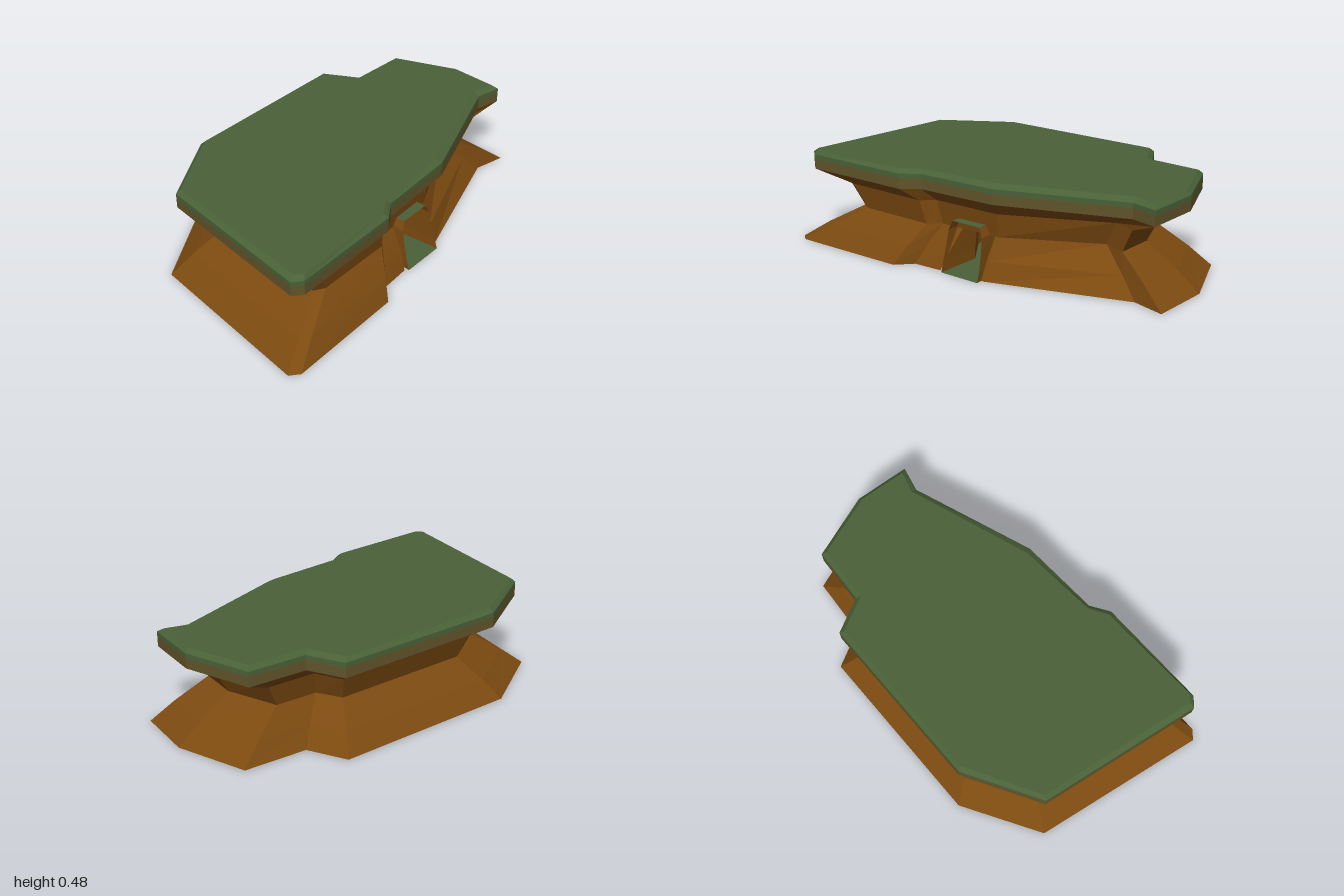
import * as THREE from 'three';

const mat = (name, color) => new THREE.MeshStandardMaterial({ name, color, side: THREE.DoubleSide });

// Pairs of x, z numbers to a ring of points at height y
function ring(y, flat) {
  const pts = [];
  for (let i = 0; i < flat.length; i += 2) pts.push([flat[i], y, flat[i + 1]]);
  return pts;
}
const lerp = (a, b, t) => a.map((v, k) => v + (b[k] - v) * t);
const blend = (A, B, t) => A.map((p, i) => lerp(p, B[i], t));

function toMesh(name, tris, material) {
  const g = new THREE.BufferGeometry();
  g.setAttribute('position', new THREE.Float32BufferAttribute(tris.flat(), 3));
  g.computeVertexNormals(); // unshared corners give flat facets
  const m = new THREE.Mesh(g, material);
  m.name = name;
  return m;
}

// Bands of quads between stacked rings, listed from bottom to top
function bands(rings, closed = true, skip = -1) {
  const tris = [];
  for (let r = 0; r + 1 < rings.length; r++) {
    const a = rings[r], b = rings[r + 1], n = a.length;
    for (let i = 0; i < (closed ? n : n - 1); i++) {
      if (i === skip) continue;
      const j = (i + 1) % n;
      tris.push(a[j], a[i], b[i], a[j], b[i], b[j]);
    }
  }
  return tris;
}

// Flat polygon facing up or down
function cap(pts, up = true) {
  const tris = [];
  const faces = THREE.ShapeUtils.triangulateShape(pts.map(p => new THREE.Vector2(p[0], p[2])), []);
  for (const [i, j, k] of faces) {
    const [a, b, c] = [pts[i], pts[j], pts[k]];
    const ny = (b[2] - a[2]) * (c[0] - a[0]) - (b[0] - a[0]) * (c[2] - a[2]);
    if ((ny > 0) === up) tris.push(a, b, c); else tris.push(a, c, b);
  }
  return tris;
}

export function createModel() {
  const grass = mat('grass green', 0x4a6138);
  const soil = mat('olive soil', 0x61542a);
  const rock = mat('brown rock', 0x7c4a10);
  const group = new THREE.Group();
  group.name = 'rockPlateau';

  // Outlines of the plateau, from the top down
  const top = ring(0.48, [-.325, -.8, -.01, -.915, .23, -.9, .2, -.79, .42, -.16, .45, .24, .505, .33,
    .525, .865, .495, .895, -.305, .79, -.51, .44, -.51, -.42, -.34, -.51]);
  const edge = ring(0.46, [-.345, -.815, -.02, -.935, .26, -.92, .23, -.79, .45, -.18, .47, .23, .53, .32,
    .538, .88, .5, .925, -.315, .81, -.53, .45, -.53, -.435, -.36, -.525]);
  const neckTop = ring(0.32, [-.29, -.68, -.01, -.785, .2, -.77, .16, -.66, .39, -.16, .4, .2, .455, .26,
    .455, .7, .42, .76, -.25, .67, -.43, .385, -.43, -.37, -.3, -.44]);
  const neckLow = ring(0.2, [-.26, -.62, -.01, -.72, .18, -.71, .14, -.6, .37, -.15, .38, .18, .43, .24,
    .43, .63, .4, .68, -.225, .6, -.385, .36, -.385, -.34, -.27, -.41]);
  const foot = ring(0.004, [-.37, -.87, -.02, -1, .28, -.98, .24, -.82, .46, -.14, .485, .27, .56, .345,
    .572, .95, .535, .995, -.345, .865, -.575, .49, -.575, -.455, -.39, -.555]);
  const at = (pts, y) => pts.map(p => [p[0], y, p[2]]);

  // Grass slab: flat top, bevel and upper rim
  group.add(toMesh('grassTop', cap(top), grass));
  group.add(toMesh('grassRim', bands([at(edge, 0.435), edge, top]), grass));
  group.add(toMesh('soilRim', bands([at(edge, 0.385), at(edge, 0.435)]), soil));

  // Overhang and neck of the rock
  group.add(toMesh('rockNeck', bands([neckLow, neckTop, at(edge, 0.385)]), rock));

  // Flared skirt, left open at the cave mouth
  const middle = blend(neckLow, foot, 0.58).map(p => [p[0], 0.095, p[2]]);
  const split = pts => {
    const [a, b] = [pts[4], pts[5]];
    return [...pts.slice(0, 5), lerp(a, b, 0.05), lerp(a, b, 0.63), ...pts.slice(5)];
  };
  group.add(toMesh('rockSkirt', bands([foot, middle, neckLow].map(split), true, 5), rock));

  // Cave: floor outline runs from one side of the mouth round to the other
  const floor = ring(0.002, [.49, -.12, .25, -.1, .05, -.22, -.18, -.24, -.27, 0,
    -.12, .23, .08, .21, .25, .09, .49, .1]);
  const wallRing = (y, mouthX, s) => floor.map(([x, , z], i) =>
    [i === 0 || i === 8 ? mouthX : 0.05 + (x - 0.05) * s, y, z * s]);
  const walls = [floor, wallRing(0.05, 0.475, 1), wallRing(0.15, 0.45, 0.95), wallRing(0.205, 0.44, 0.92)];
  const ceiling = wallRing(0.25, 0.43, 0.75);
  group.add(toMesh('caveFloor', cap(floor), grass));
  group.add(toMesh('caveWalls', bands([...walls, ceiling], false), rock));
  const [r, l] = [ceiling[1], ceiling[7]];
  group.add(toMesh('caveCeiling', cap(ceiling.slice(1, 8), false), rock));
  group.add(toMesh('caveLintel', cap([ceiling[0], r, l, ceiling[8]]), grass));

  return group;
}
